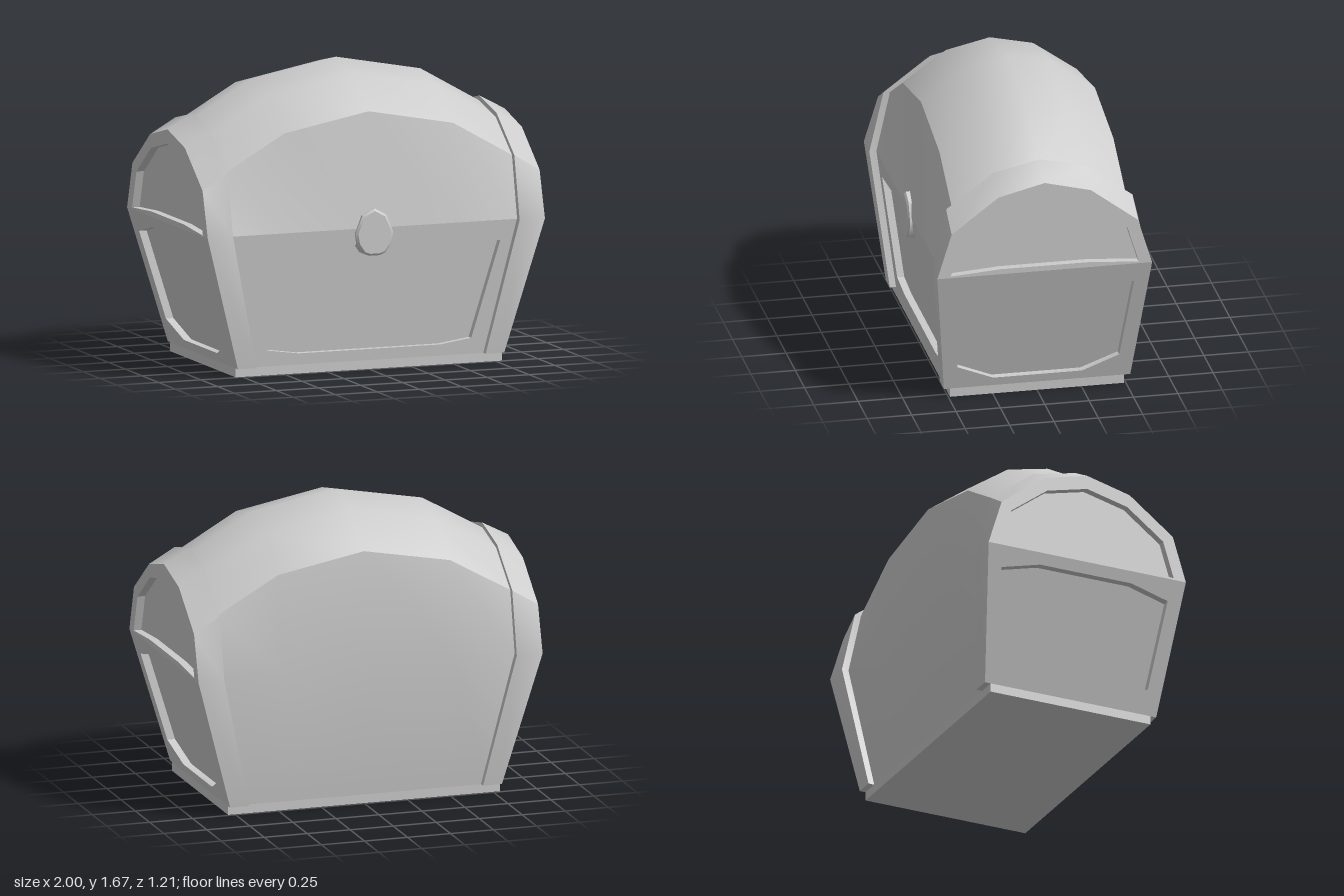
import * as THREE from 'three';
import { mergeGeometries, toCreasedNormals } from 'three/addons/utils/BufferGeometryUtils.js';

const material = new THREE.MeshStandardMaterial({ color: 0xcccccc });

function mesh(name, geometry) {
  const m = new THREE.Mesh(toCreasedNormals(geometry, 0.6), material);
  m.name = name;
  return m;
}

// Skin between cross-sections of [x, y, z] points
function loft(rings, closed) {
  const n = rings[0].length;
  const index = [];
  for (let i = 0; i < rings.length - 1; i++) {
    for (let j = 0; j < (closed ? n : n - 1); j++) {
      const k = (j + 1) % n;
      const a = i * n + j, b = i * n + k, c = b + n, d = a + n;
      index.push(a, b, c, a, c, d);
    }
  }
  const g = new THREE.BufferGeometry();
  g.setAttribute('position', new THREE.Float32BufferAttribute(rings.flat(2), 3));
  g.setIndex(index);
  return g;
}

// Full counter-clockwise outline from its right half, listed from bottom to top
function mirrored(half) {
  const left = half.filter(p => p[0] > 0).map(([u, v]) => [-u, v]).reverse();
  return [...half, ...left];
}

const toVectors = pts => pts.map(([u, v]) => new THREE.Vector2(u, v));

// Flat wall with a sunken panel; depthAt(v) tilts the wall
function sunkenPanel(outline, hole, depth, depthAt) {
  const shape = new THREE.Shape(toVectors(outline));
  shape.holes.push(new THREE.Path(toVectors(hole)));
  const floor = new THREE.ShapeGeometry(new THREE.Shape(toVectors(hole))).translate(0, 0, -depth);
  const walls = loft([0, -depth].map(w => hole.map(([u, v]) => [u, v, w])), true);
  const parts = [new THREE.ShapeGeometry(shape), floor, walls].map(g => {
    const flat = g.toNonIndexed();
    flat.deleteAttribute('uv');
    flat.deleteAttribute('normal');
    return flat;
  });
  const g = mergeGeometries(parts);
  const p = g.attributes.position;
  for (let i = 0; i < p.count; i++) p.setZ(i, p.getZ(i) + depthAt(p.getY(i)));
  return g;
}

// Back-to-front section over the top, from its front half listed bottom to top
function section(half) {
  const back = half.map(([x, y, z]) => [x, y, -z]);
  return [...back, ...half.slice(0, -1).reverse()];
}

// Band, end wall and sunken panels at the +x end
function chestEnd() {
  const end = new THREE.Group();

  const outer = [[0.79, 0.05, 0.525], [1, 0.8, 0.605], [1, 1.06, 0.525], [1, 1.26, 0.26], [1, 1.325, 0]];
  const inner = [[0.68, 0.05, 0.525], [0.85, 0.8, 0.605], [0.85, 1.15, 0.525], [0.85, 1.345, 0.26], [0.85, 1.405, 0]];
  const lip = [[0.68, 0.05, 0.46], [0.85, 0.8, 0.53], [0.85, 1.1, 0.46], [0.85, 1.28, 0.23], [0.85, 1.33, 0]];
  end.add(mesh('endBand', loft([lip, inner, outer].map(section), true)));

  const lower = sunkenPanel(
    mirrored([[0.525, 0.05], [0.605, 0.8]]),
    mirrored([[0.25, 0.1], [0.455, 0.19], [0.51, 0.68], [0.28, 0.735]]),
    0.045, y => 0.79 + (y - 0.05) * 0.28);
  end.add(mesh('lowerEndPanel', lower.rotateY(Math.PI / 2)));

  const upper = sunkenPanel(
    mirrored([[0.605, 0.8], [0.525, 1.06], [0.26, 1.26], [0, 1.325]]),
    mirrored([[0.25, 0.83], [0.53, 0.81], [0.465, 1.02], [0.245, 1.185], [0, 1.245]]),
    0.045, () => 1);
  end.add(mesh('upperEndPanel', upper.rotateY(Math.PI / 2)));
  return end;
}

export function createModel() {
  const chest = new THREE.Group();
  chest.name = 'chest';

  // Base slab
  chest.add(mesh('base', new THREE.BoxGeometry(1.58, 0.05, 0.98).translate(0, 0.025, 0)));

  // Arched lid, upper front and back wall; ridge height falls towards the ends
  const ridges = [[-0.86, 1.372], [-0.5, 1.578], [0, 1.672], [0.5, 1.578], [0.86, 1.372]];
  const shell = ridges.map(([x, top]) => {
    const half = [
      [x * 0.84, 0.05, 0.49], [x, 0.8, 0.565], [x, top - 0.232, 0.49],
      [x, top - 0.055, 0.245], [x, top, 0],
    ];
    return section(half).slice(0, -1);
  });
  chest.add(mesh('lidAndBack', loft(shell, false)));

  // Lower front wall
  const front = sunkenPanel(
    mirrored([[0.722, 0.05], [0.86, 0.8]]),
    mirrored([[0.42, 0.113], [0.605, 0.14], [0.755, 0.685], [0.5, 0.71]]),
    0.04, y => 0.49 + (y - 0.05) * 0.1);
  chest.add(mesh('frontPanel', front));

  // Lock plate
  const plate = new THREE.Shape(toVectors(mirrored(
    [[0.03, 0.647], [0.065, 0.66], [0.1, 0.71], [0.112, 0.775], [0.07, 0.872], [0, 0.91]])));
  const lock = new THREE.ExtrudeGeometry(plate, {
    depth: 0.065, bevelThickness: 0.01, bevelSize: 0.012, bevelOffset: -0.012, bevelSegments: 1,
  }).translate(0, 0, 0.51);
  chest.add(mesh('lockPlate', lock));

  // Two matching ends
  ['leftEnd', 'rightEnd'].forEach((name, i) => {
    const end = chestEnd();
    end.name = name;
    end.rotation.y = i * Math.PI;
    chest.add(end);
  });

  return chest;
}
